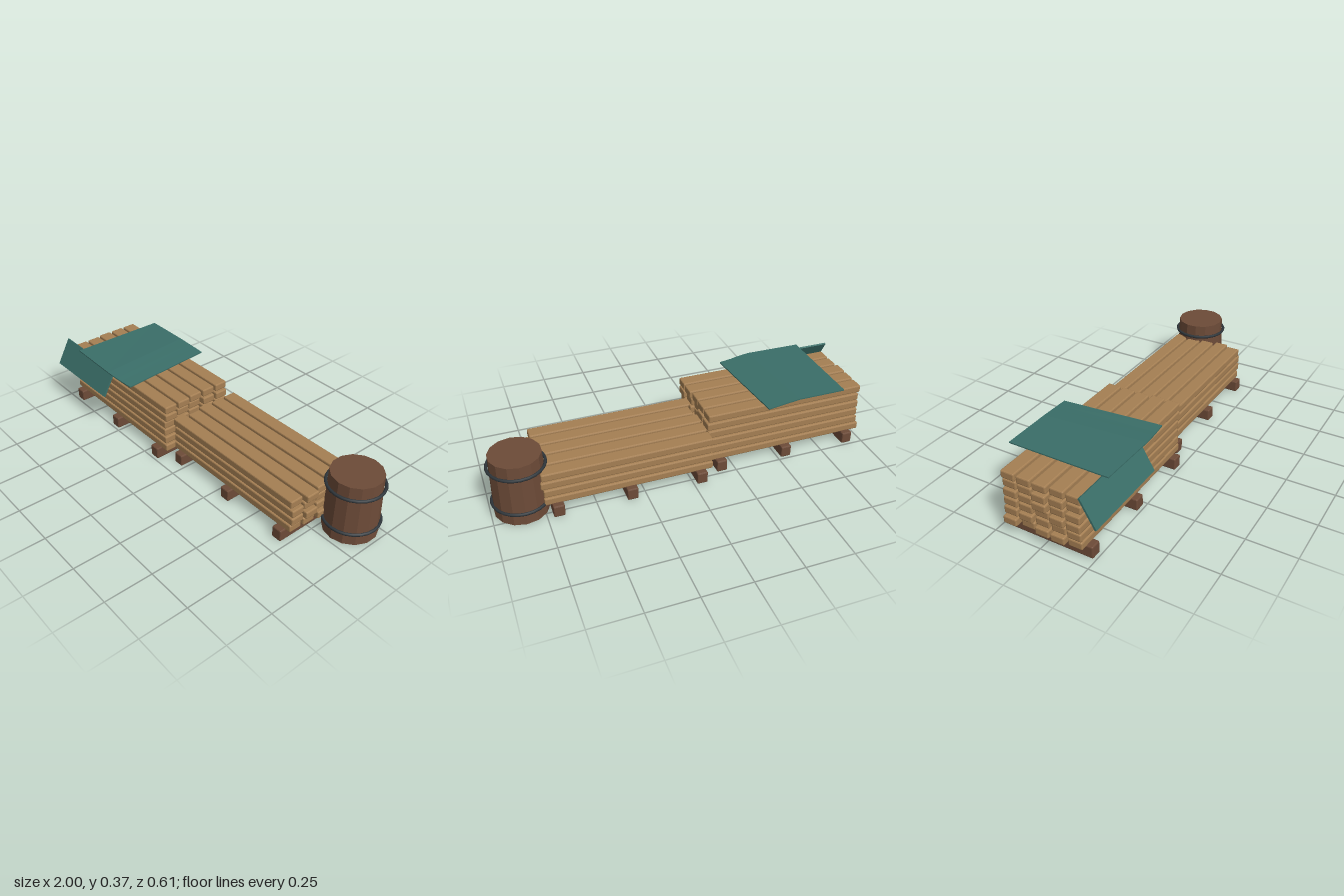
import * as THREE from 'three';
import { RoundedBoxGeometry } from 'three/addons/geometries/RoundedBoxGeometry.js';

const mat = (name, color) => {
  const m = new THREE.MeshStandardMaterial({ color });
  m.name = name;
  return m;
};

// Box with chamfered edges and flat facets
function chamferBox(w, h, d, c) {
  const g = new RoundedBoxGeometry(w, h, d, 1, c);
  g.computeVertexNormals();
  return g;
}

// Thin solid sheet lofted between a back edge and a front edge
function pleatedSheet(columns, thickness) {
  const pos = [];
  const quad = (a, b, c, d) => [a, b, c, a, c, d].forEach((p) => pos.push(...p));
  const down = ([x, y, z]) => [x, y - thickness, z];
  columns.forEach(([b, f], i) => {
    if (i === columns.length - 1) return;
    const [b2, f2] = columns[i + 1];
    quad(b, f, f2, b2);
    quad(down(b), down(b2), down(f2), down(f));
    quad(f, down(f), down(f2), f2);
    quad(b2, down(b2), down(b), b);
  });
  const [b0, f0] = columns[0];
  const [b1, f1] = columns[columns.length - 1];
  quad(b0, down(b0), down(f0), f0);
  quad(f1, down(f1), down(b1), b1);
  const g = new THREE.BufferGeometry();
  g.setAttribute('position', new THREE.Float32BufferAttribute(pos, 3));
  g.computeVertexNormals();
  return g;
}

export function createModel() {
  const model = new THREE.Group();
  model.name = 'lumberPile';
  const plankWood = mat('plankWood', 0xa57f53);
  const darkWood = mat('darkWood', 0x6d4b38);
  const canvas = mat('tealCanvas', 0x3a6e68);
  const iron = mat('darkIron', 0x2f363b);

  let seed = 7;
  const rand = () => (seed = (seed * 16807) % 2147483647) / 2147483647;
  const add = (parent, name, geometry, material, x = 0, y = 0, z = 0) => {
    const m = new THREE.Mesh(geometry, material);
    m.name = name;
    m.position.set(x, y, z);
    parent.add(m);
    return m;
  };

  // Plank stacks on three bearers each
  const plank = chamferBox(0.865, 0.039, 0.072, 0.006);
  const bearer = chamferBox(0.056, 0.063, 0.472, 0.006);
  function stack(name, x, z, layers) {
    const g = new THREE.Group();
    g.name = name;
    g.position.set(x, 0, z);
    for (const bx of [-0.368, 0, 0.368]) add(g, 'bearer', bearer, darkWood, bx, 0.0315, 0);
    for (let l = 0; l < layers; l++) {
      for (let i = -2; i <= 2; i++) {
        add(g, 'plank', plank, plankWood, (rand() - 0.5) * 0.026, 0.0765 + l * 0.0473, i * 0.0842);
      }
    }
    model.add(g);
  }
  stack('tallStack', -0.545, 0, 6);
  stack('lowStack', 0.323, -0.058, 4);

  // Tapered barrel with two hoops
  const barrel = new THREE.Group();
  barrel.name = 'barrel';
  barrel.position.set(0.849, 0, -0.158);
  const body = new THREE.CylinderGeometry(0.127, 0.136, 0.327, 14).toNonIndexed();
  body.computeVertexNormals();
  add(barrel, 'barrelBody', body, darkWood, 0, 0.1635, 0);
  const hoop = new THREE.TorusGeometry(0.138, 0.008, 6, 24).rotateX(Math.PI / 2);
  for (const y of [0.064, 0.265]) add(barrel, 'hoop', hoop, iron, 0, y, 0);
  model.add(barrel);

  // Cover sheet: flat part, then shallow skewed pleats down to the right
  const cover = pleatedSheet([
    [[-0.83, 0.373, -0.265], [-0.83, 0.373, 0.257]],
    [[-0.575, 0.373, -0.265], [-0.53, 0.371, 0.264]],
    [[-0.5, 0.367, -0.269], [-0.46, 0.365, 0.258]],
    [[-0.455, 0.363, -0.272], [-0.425, 0.361, 0.253]],
    [[-0.4, 0.358, -0.275], [-0.355, 0.357, 0.245]],
  ], 0.006);
  add(model, 'coverSheet', cover, canvas);

  // Flap hanging off the front
  const flap = add(model, 'coverFlap', new THREE.BoxGeometry(0.47, 0.155, 0.01), canvas, -0.765, 0.298, 0.262);
  flap.rotation.x = -0.515;

  return model;
}
